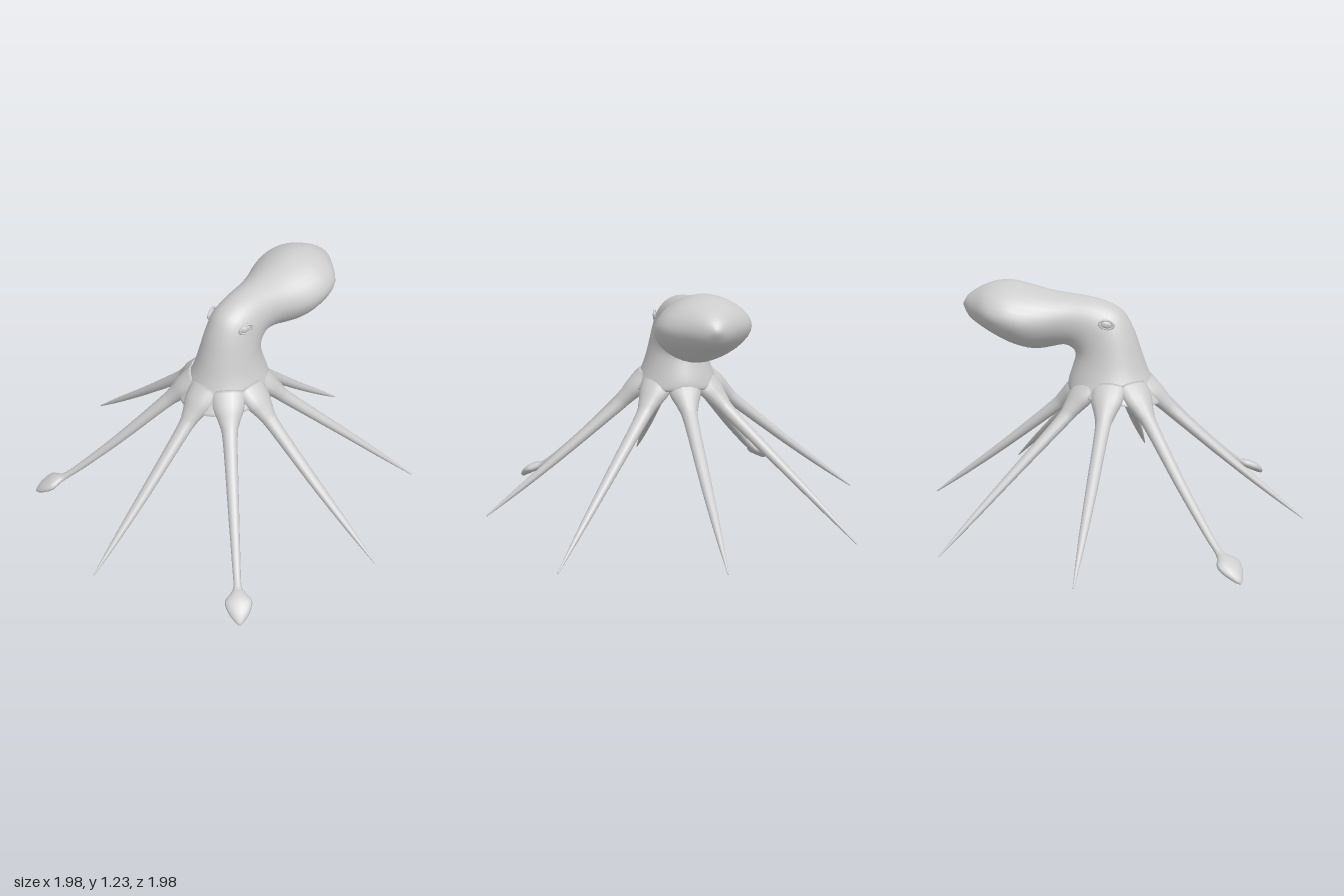
import * as THREE from 'three';

const material = new THREE.MeshStandardMaterial({ color: 0xcccccc, side: THREE.DoubleSide });

// Catmull-Rom through table rows, column by column
function refine(rows, steps) {
  const out = [];
  const row = i => rows[Math.min(rows.length - 1, Math.max(0, i))];
  for (let i = 0; i < rows.length - 1; i++) {
    for (let k = 0; k < steps; k++) {
      const t = k / steps;
      out.push(rows[i].map((p1, c) => {
        const p0 = row(i - 1)[c], p2 = row(i + 1)[c], p3 = row(i + 2)[c];
        return 0.5 * (2 * p1 + (p2 - p0) * t + (2 * p0 - 5 * p1 + 4 * p2 - p3) * t * t
          + (3 * p1 - p0 - 3 * p2 + p3) * t * t * t);
      }));
    }
  }
  out.push(rows[rows.length - 1]);
  return out;
}

// Skin through rings {c, u, v, e}; u x v points along the direction of travel
function loft(rings, sides) {
  const pos = [], index = [];
  const n = rings.length;
  const pow = (x, e) => Math.sign(x) * Math.abs(x) ** e;
  for (const { c, u, v, e = 1 } of rings) {
    for (let j = 0; j < sides; j++) {
      const a = (j / sides) * Math.PI * 2;
      const p = c.clone().addScaledVector(u, pow(Math.cos(a), e)).addScaledVector(v, pow(Math.sin(a), e));
      pos.push(p.x, p.y, p.z);
    }
  }
  for (let i = 0; i < n - 1; i++) {
    for (let j = 0; j < sides; j++) {
      const k = (j + 1) % sides, a = i * sides, b = a + sides;
      index.push(a + j, a + k, b + k, a + j, b + k, b + j);
    }
  }
  // End caps
  pos.push(...rings[0].c.toArray(), ...rings[n - 1].c.toArray());
  const last = (n - 1) * sides;
  for (let j = 0; j < sides; j++) {
    const k = (j + 1) % sides;
    index.push(n * sides, k, j, n * sides + 1, last + j, last + k);
  }
  const geo = new THREE.BufferGeometry();
  geo.setAttribute('position', new THREE.Float32BufferAttribute(pos, 3));
  geo.setIndex(index);
  geo.computeVertexNormals();
  return geo;
}

function mesh(name, geo) {
  const m = new THREE.Mesh(geo, material);
  m.name = name;
  return m;
}

// Body rows: front z, y, back z, y, half width, section exponent
const BODY = [
  [0.02, 0.72, -0.02, 0.72, 0.02, 1],
  [0.20, 0.67, -0.19, 0.70, 0.18, 1],
  [0.255, 0.645, -0.235, 0.70, 0.23, 1],
  [0.215, 0.71, -0.235, 0.745, 0.20, 1],
  [0.17, 0.80, -0.215, 0.81, 0.168, 1],
  [0.135, 0.90, -0.20, 0.865, 0.147, 1],
  [0.10, 1.00, -0.21, 0.895, 0.135, 1],
  [0.05, 1.09, -0.235, 0.91, 0.128, 1],
  [-0.02, 1.135, -0.26, 0.915, 0.125, 1],
  [-0.10, 1.16, -0.29, 0.91, 0.127, 1],
  [-0.20, 1.175, -0.33, 0.90, 0.14, 1.04],
  [-0.32, 1.19, -0.38, 0.89, 0.175, 1.1],
  [-0.45, 1.22, -0.44, 0.89, 0.215, 1.14],
  [-0.54, 1.235, -0.53, 0.915, 0.227, 1.14],
  [-0.63, 1.225, -0.61, 0.955, 0.205, 1.12],
  [-0.71, 1.19, -0.69, 0.995, 0.13, 1.08],
  [-0.765, 1.15, -0.75, 1.035, 0.065, 1],
  [-0.79, 1.11, -0.785, 1.085, 0.015, 1],
];

function bodyGeometry() {
  return loft(refine(BODY, 3).map(([fz, fy, bz, by, w, e]) => ({
    c: new THREE.Vector3(0, (fy + by) / 2, (fz + bz) / 2),
    u: new THREE.Vector3(-w, 0, 0),
    v: new THREE.Vector3(0, (fy - by) / 2, (fz - bz) / 2),
    e,
  })), 32);
}

// Arm rows: distance from centre, height, half width, half thickness
const ROOT = [
  [0.15, 0.735, 0.09, 0.05],
  [0.21, 0.68, 0.08, 0.05],
  [0.265, 0.625, 0.052, 0.04],
  [0.33, 0.565, 0.037, 0.033],
];
const ARM = [...ROOT,
  [0.60, 0.345, 0.028, 0.023],
  [0.82, 0.175, 0.017, 0.015],
  [0.99, 0.045, 0.003, 0.003],
];
const BACK_ARM = [...ROOT,
  [0.60, 0.355, 0.027, 0.023],
  [0.84, 0.165, 0.016, 0.015],
  [1.03, 0.012, 0.003, 0.003],
];
const CLUB_ARM = [...ROOT,
  [0.57, 0.345, 0.028, 0.024],
  [0.78, 0.17, 0.021, 0.018],
  [0.87, 0.105, 0.02, 0.016],
  [0.905, 0.088, 0.04, 0.022],
  [0.94, 0.072, 0.066, 0.025],
  [0.985, 0.045, 0.052, 0.022],
  [1.02, 0.018, 0.022, 0.013],
  [1.033, 0.008, 0.003, 0.004],
];

function armGeometry(rows) {
  const pts = refine(rows, 4);
  return loft(pts.map(([r, y, w, h], i) => {
    const a = pts[Math.max(0, i - 1)], b = pts[Math.min(pts.length - 1, i + 1)];
    const t = new THREE.Vector3(0, b[1] - a[1], b[0] - a[0]).normalize();
    const side = new THREE.Vector3(1, 0, 0);
    return {
      c: new THREE.Vector3(0, y, r),
      u: side.clone().multiplyScalar(w),
      v: t.clone().cross(side).multiplyScalar(h),
    };
  }), 14);
}

function eye(sx) {
  const g = new THREE.Group();
  g.name = sx > 0 ? 'leftEye' : 'rightEye';
  const lid = mesh('eyelid', new THREE.TorusGeometry(0.029, 0.007, 8, 20));
  lid.scale.set(1.2, 0.75, 1);
  const ball = mesh('eyeball', new THREE.SphereGeometry(0.024, 16, 10));
  ball.scale.set(1.2, 0.75, 0.4);
  g.add(lid, ball);
  g.position.set(sx * 0.113, 1.05, -0.02);
  g.rotation.set(0, sx * 1.3, sx * 0.2);
  return g;
}

export function createModel() {
  const model = new THREE.Group();
  model.name = 'octopus';
  model.add(mesh('body', bodyGeometry()), eye(1), eye(-1));

  // Eight arms, counted round from the front
  const plain = armGeometry(ARM), back = armGeometry(BACK_ARM), club = armGeometry(CLUB_ARM);
  const kinds = [
    ['frontArm', plain], ['leftClubArm', club], ['leftArm', plain], ['leftBackArm', back],
    ['backArm', plain], ['rightBackArm', back], ['rightArm', plain], ['rightClubArm', club],
  ];
  kinds.forEach(([name, geo], i) => {
    const arm = mesh(name, geo);
    arm.rotation.y = (i * Math.PI) / 4;
    model.add(arm);
  });
  return model;
}
